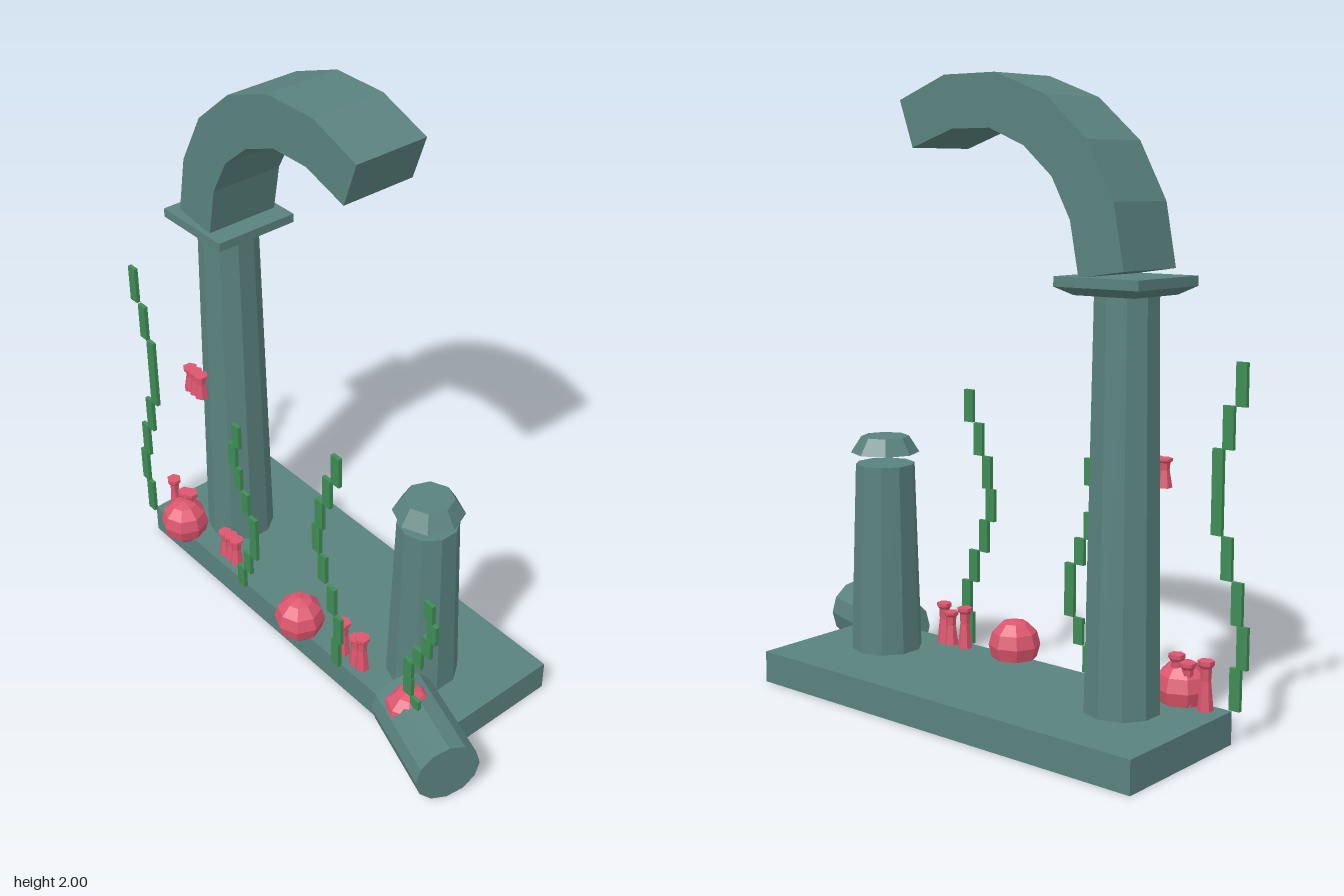
import * as THREE from 'three';

export function createModel() {
  const root = new THREE.Group();
  const mat = (name, color) => {
    const m = new THREE.MeshStandardMaterial({ color, flatShading: true });
    m.name = name;
    return m;
  };
  const stone = mat('teal stone', 0x5a827e);
  const coral = mat('pink coral', 0xdc566e);
  const weed = mat('seaweed green', 0x3f8c55);

  const add = (name, geometry, material, x, y, z, parent = root) => {
    const mesh = new THREE.Mesh(geometry, material);
    mesh.name = name;
    mesh.position.set(x, y, z);
    parent.add(mesh);
    return mesh;
  };
  const floor = 0.105;
  const axisZ = -0.022;

  // Plinth
  add('base', new THREE.BoxGeometry(1.51, floor, 0.52), stone, -0.065, floor / 2, -0.08);

  // Tapered columns
  const column = (name, x, top) =>
    add(name, new THREE.CylinderGeometry(0.1, 0.12, top - floor, 10), stone, x, (top + floor) / 2, axisZ);
  column('tallColumn', -0.56, 1.36);
  column('brokenColumn', 0.43, 0.74);

  // Square capital: slab over a flared underside
  add('capitalSlab', new THREE.BoxGeometry(0.3, 0.03, 0.3), stone, -0.56, 1.395, -0.027);
  const flare = new THREE.CylinderGeometry(0.15 * Math.SQRT2, 0.108 * Math.SQRT2, 0.025, 4);
  flare.rotateY(Math.PI / 4);
  add('capitalFlare', flare, stone, -0.56, 1.3675, -0.027);

  // Faceted cap floating above the broken column
  add('brokenColumnCap', new THREE.CylinderGeometry(0.08, 0.115, 0.055, 8), stone, 0.43, 0.805, axisZ);

  // Broken arch
  const outer = [[-0.643, 1.43], [-0.606, 1.624], [-0.51, 1.8], [-0.357, 1.93], [-0.167, 2], [0.034, 2], [0.22, 1.93]];
  const inner = [[-0.484, 1.407], [-0.452, 1.571], [-0.384, 1.695], [-0.278, 1.785], [-0.146, 1.838], [0.003, 1.838], [0.167, 1.783]];
  const outline = [...outer, ...inner.reverse()].map(([x, y]) => new THREE.Vector2(x, y));
  add('brokenArch', new THREE.ExtrudeGeometry(new THREE.Shape(outline), { depth: 0.26, bevelEnabled: false }),
    stone, 0, 0, -0.155);

  // Fallen column drum
  const drum = new THREE.CylinderGeometry(0.11, 0.11, 0.335, 12);
  drum.rotateZ(Math.PI / 2);
  drum.rotateY(-0.305);
  add('fallenDrum', drum, stone, 0.662, 0.11, 0.18);

  // Round corals
  for (const x of [-0.65, 0.02, 0.575]) {
    add('roundCoral', new THREE.SphereGeometry(0.087, 8, 6), coral, x, 0.148, 0.168);
  }

  // Tube corals: flared stalks in clusters of three
  const tubeCluster = (xs, y, heights, z) => {
    const group = new THREE.Group();
    group.name = 'tubeCoralCluster';
    root.add(group);
    xs.forEach((x, i) => {
      const h = heights[i];
      const profile = [[0, 0], [0.025, 0], [0.016, h * 0.6], [0.018, h * 0.85], [0.026, h * 0.92], [0.026, h], [0, h]];
      const stalk = new THREE.LatheGeometry(profile.map(([r, v]) => new THREE.Vector2(r, v)), 6);
      add('tubeCoral', stalk, coral, x, y, z, group);
    });
  };
  tubeCluster([-0.755, -0.69, -0.65], floor, [0.155, 0.135, 0.155], 0.135);
  tubeCluster([-0.445, -0.41, -0.378], floor, [0.1, 0.108, 0.108], 0.135);
  tubeCluster([0.212, 0.275, 0.307], floor, [0.14, 0.115, 0.14], 0.135);
  tubeCluster([-0.588, -0.558, -0.528], 0.765, [0.09, 0.09, 0.09], 0.143);

  // Seaweed: stacked thin blocks swaying from side to side
  const seaweed = (top, xs) => {
    const group = new THREE.Group();
    group.name = 'seaweed';
    root.add(group);
    const h = (top - floor) / xs.length;
    xs.forEach((x, i) =>
      add('seaweedBlade', new THREE.BoxGeometry(0.037, h, 0.014), weed, x, floor + h * (i + 0.5), 0.19, group));
  };
  seaweed(1.16, [-0.825, -0.847, -0.825, -0.786, -0.749, -0.749, -0.783, -0.825]);
  seaweed(0.81, [-0.272, -0.233, -0.196, -0.196, -0.235, -0.272, -0.294, -0.272]);
  seaweed(0.985, [0.238, 0.249, 0.217, 0.172, 0.143, 0.159, 0.196, 0.238]);
  seaweed(0.69, [0.667, 0.624, 0.59, 0.587, 0.627, 0.664, 0.685, 0.667]);

  return root;
}
